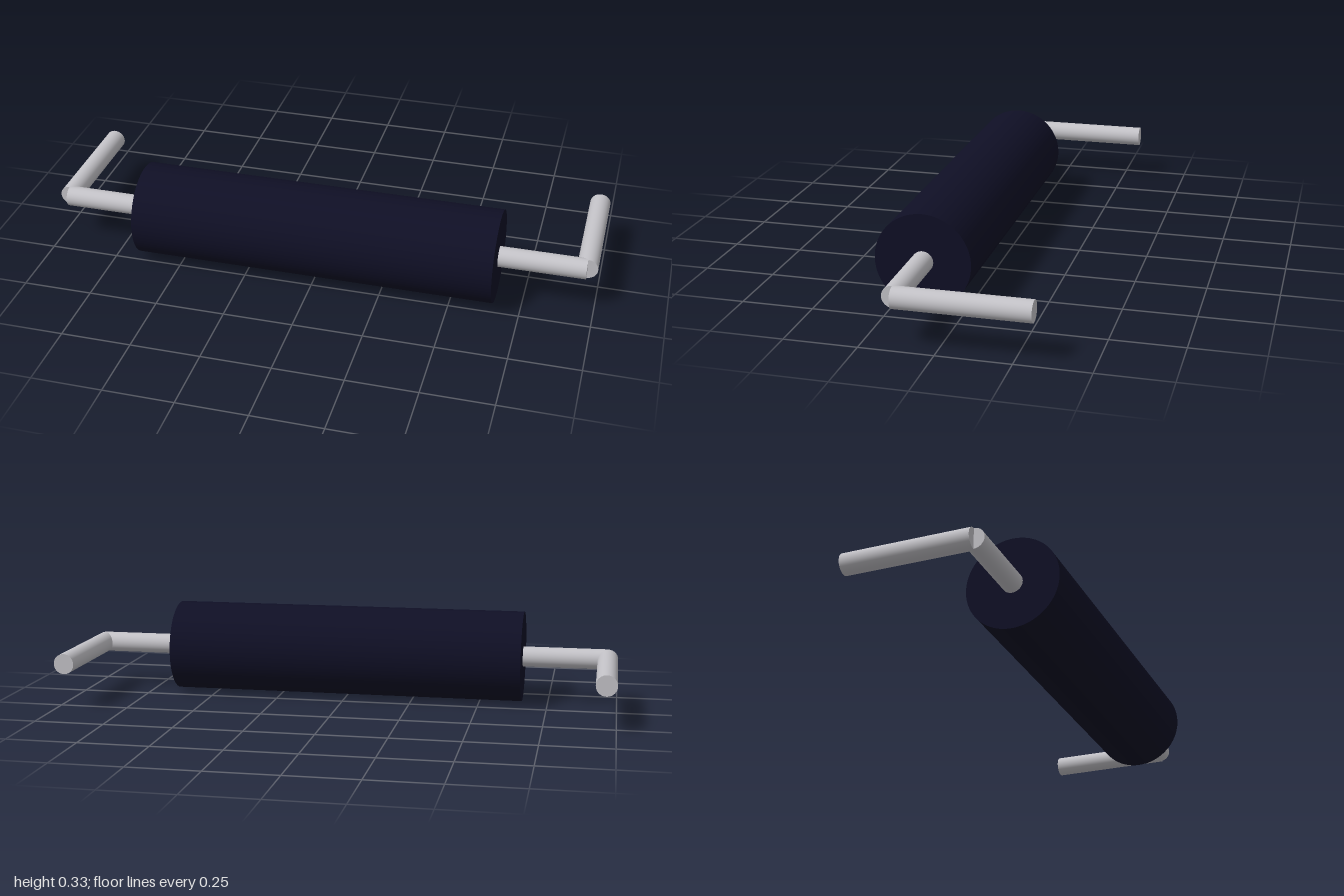
import * as THREE from 'three';

const AXIS_Y = 0.166; // height of the body axis
const AXIS_Z = 0.143; // body axis sits forward of the legs
const HALF_BODY = 0.655;
const LEG_X = 0.963;
const LEAD_R = 0.037;
const BACK_Z = -0.309;

const bodyMaterial = new THREE.MeshStandardMaterial({ color: 0x0f0f25 });
bodyMaterial.name = 'dark navy';
const leadMaterial = new THREE.MeshStandardMaterial({ color: 0xc3c2c7 });
leadMaterial.name = 'silver grey';

// Capped rod between two points
function rod(name, from, to, radius, sides, material) {
  const dir = to.clone().sub(from);
  const mesh = new THREE.Mesh(new THREE.CylinderGeometry(radius, radius, dir.length(), sides), material);
  mesh.position.copy(from).add(to).multiplyScalar(0.5);
  mesh.quaternion.setFromUnitVectors(new THREE.Vector3(0, 1, 0), dir.normalize());
  mesh.name = name;
  return mesh;
}

export function createModel() {
  const model = new THREE.Group();
  model.name = 'axialComponent';
  const at = (x, z = AXIS_Z) => new THREE.Vector3(x, AXIS_Y, z);

  // Cylindrical body lying along x
  model.add(rod('body', at(-HALF_BODY), at(HALF_BODY), 0.166, 96, bodyMaterial));

  // Bent wire on each end: straight lead, then a leg towards the back
  for (const [side, s] of [['left', 1], ['right', -1]]) {
    const wire = new THREE.Group();
    wire.name = `${side}Wire`;
    wire.add(
      rod(`${side}Lead`, at(s * (HALF_BODY - 0.02)), at(s * LEG_X), LEAD_R, 48, leadMaterial),
      rod(`${side}Leg`, at(s * LEG_X), at(s * LEG_X, BACK_Z), LEAD_R, 48, leadMaterial),
    );
    model.add(wire);
  }
  return model;
}
